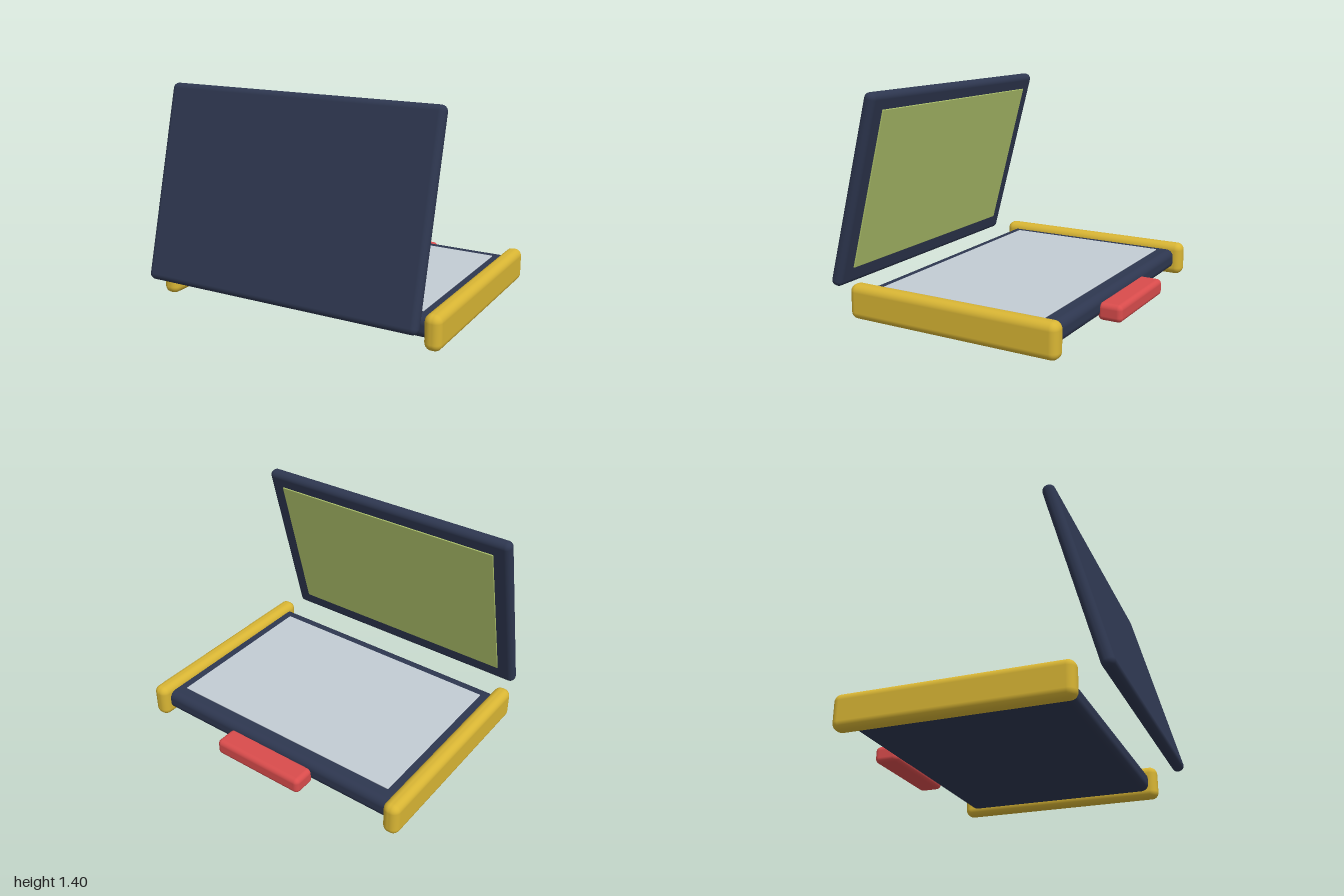
import * as THREE from 'three';
import { RoundedBoxGeometry } from 'three/addons/geometries/RoundedBoxGeometry.js';

function material(name, color) {
  const m = new THREE.MeshStandardMaterial({ color });
  m.name = name;
  return m;
}

export function createModel() {
  const navy = material('navy', 0x2e3750);
  const yellow = material('yellow', 0xd8b534);
  const red = material('red', 0xd94c4c);
  const silver = material('silver', 0xc3ccd4);
  const green = material('screen green', 0xb0c46c);

  const model = new THREE.Group();
  model.name = 'laptop';

  // rounded block given by size, centre and edge radius
  function block(parent, name, mat, size, centre, radius) {
    const mesh = new THREE.Mesh(new RoundedBoxGeometry(...size, 5, radius), mat);
    mesh.name = name;
    mesh.position.set(...centre);
    parent.add(mesh);
    return mesh;
  }

  // base with its inset keyboard plate
  block(model, 'base', navy, [1.88, 0.135, 1.33], [0, 0.1125, -0.055], 0.05);
  block(model, 'keyboardPlate', silver, [1.67, 0.009, 1.135], [0, 0.1835, -0.0475], 0.004);

  // bumper rails on both sides
  for (const side of [1, -1]) {
    block(model, side > 0 ? 'leftRail' : 'rightRail', yellow,
      [0.11, 0.223, 1.44], [side * 0.945, 0.1115, -0.055], 0.048);
  }

  // carrying handle at the back
  block(model, 'handle', red, [0.664, 0.11, 0.16], [0, 0.085, -0.78], 0.032);

  // leaning lid, with the screen on its inner side
  const lid = new THREE.Group();
  lid.name = 'lid';
  lid.position.set(0, 0.78, 0.6675);
  lid.rotation.x = -THREE.MathUtils.degToRad(15);
  block(lid, 'lidShell', navy, [1.886, 1.27, 0.08], [0, 0, 0], 0.038);
  block(lid, 'screen', green, [1.664, 1.05, 0.009], [0, 0.01, -0.0435], 0.004);
  model.add(lid);

  return model;
}
